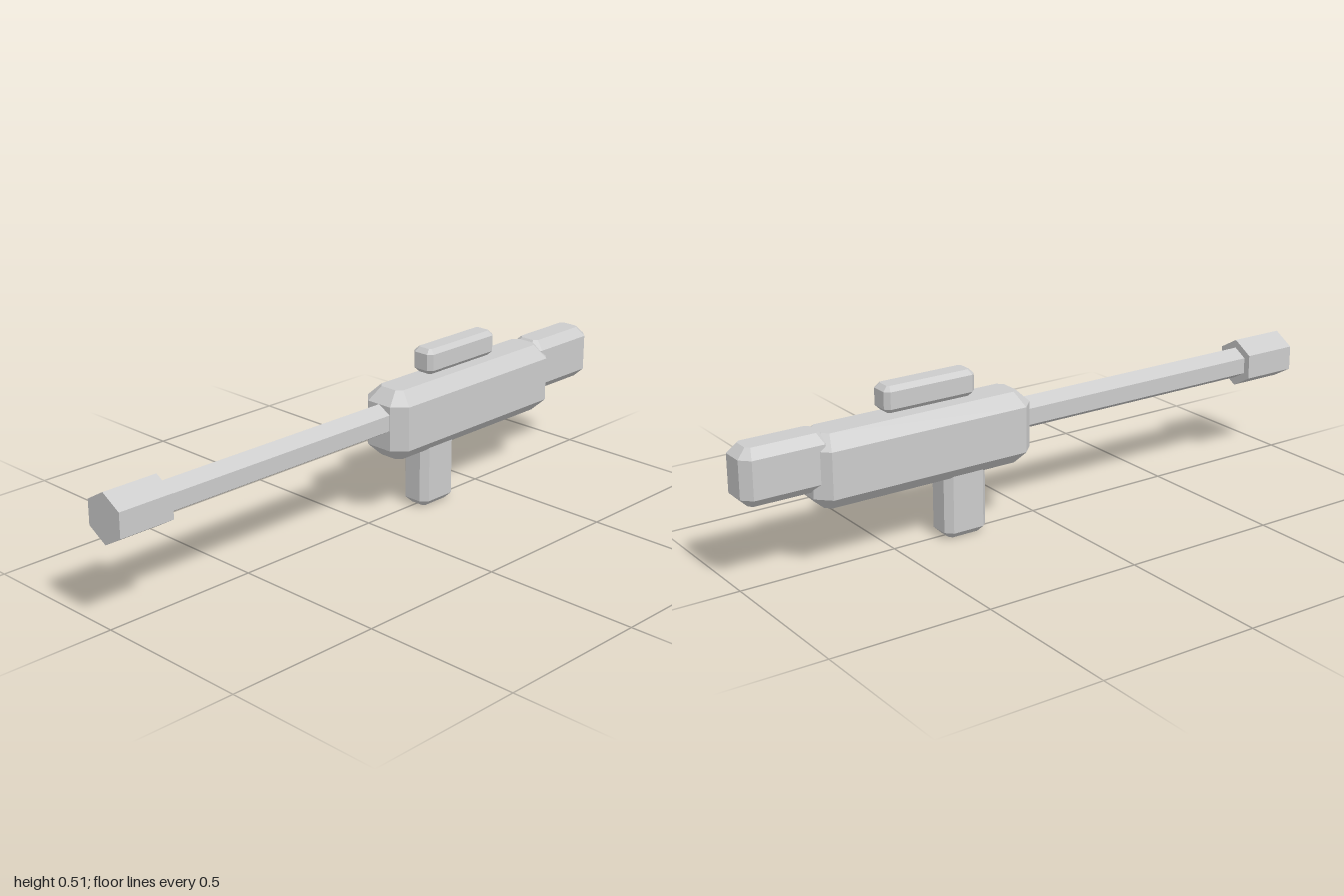
import * as THREE from 'three';

const material = new THREE.MeshStandardMaterial({ color: 0xcccccc, flatShading: true });

// Box with cut vertical corners and chamfered top and bottom rims
function chamferBox(name, halfWidth, [y0, y1], [z0, z1], c) {
  const w = halfWidth, d = (z1 - z0) / 2;
  const outline = new THREE.Shape([
    [w - c, -d], [w, c - d], [w, d - c], [w - c, d],
    [c - w, d], [-w, d - c], [-w, c - d], [c - w, -d],
  ].map(([x, y]) => new THREE.Vector2(x, y)));
  const geometry = new THREE.ExtrudeGeometry(outline, {
    depth: y1 - y0 - 2 * c,
    bevelEnabled: true, bevelSegments: 1,
    bevelSize: c, bevelThickness: c, bevelOffset: -c,
  });
  geometry.rotateX(-Math.PI / 2);
  geometry.translate(0, y0 + c, (z0 + z1) / 2);
  const mesh = new THREE.Mesh(geometry, material);
  mesh.name = name;
  return mesh;
}

// Six-sided rod along z with a ridge on top
function hexRod(name, radius, [z0, z1]) {
  const geometry = new THREE.CylinderGeometry(radius, radius, z1 - z0, 6);
  geometry.rotateX(Math.PI / 2);
  geometry.translate(0, 0.329, (z0 + z1) / 2);
  const mesh = new THREE.Mesh(geometry, material);
  mesh.name = name;
  return mesh;
}

export function createModel() {
  const model = new THREE.Group();
  model.name = 'rifle';
  model.add(
    chamferBox('body', 0.087, [0.197, 0.421], [-0.782, -0.045], 0.041),
    chamferBox('stock', 0.063, [0.255, 0.427], [-1, -0.72], 0.028),
    chamferBox('grip', 0.051, [0, 0.25], [-0.344, -0.198], 0.021),
    chamferBox('sight', 0.04, [0.432, 0.513], [-0.536, -0.23], 0.0145),
    hexRod('barrel', 0.051, [-0.1, 0.83]),
    hexRod('muzzle', 0.077, [0.818, 1]),
  );
  return model;
}
